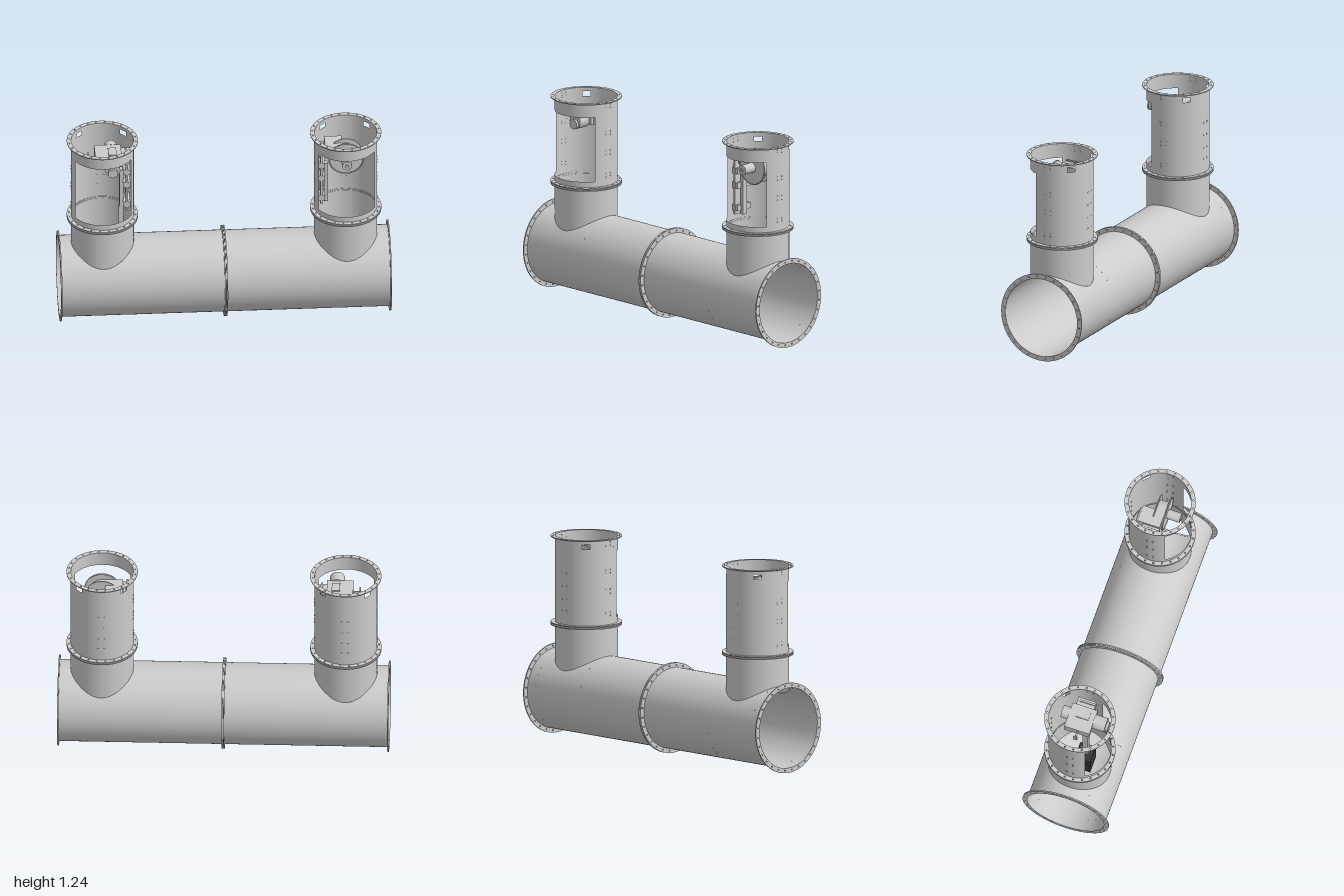
import * as THREE from 'three';

const Z = -0.695, PIPE_Y = 0.275, PIPE_R = 0.247, TOWER_R = 0.19, TOWER_X = 0.735;
const PI = Math.PI;
const grey = new THREE.MeshStandardMaterial({ color: 0xcccccc });
const sheet = new THREE.MeshStandardMaterial({ color: 0xcccccc, side: THREE.DoubleSide });
const black = new THREE.MeshStandardMaterial({ color: 0x333333 });
const red = new THREE.MeshStandardMaterial({ color: 0xcc2222 });

function add(parent, name, geometry, material, x = 0, y = 0, z = 0) {
  const mesh = new THREE.Mesh(geometry, material);
  mesh.name = name;
  mesh.position.set(x, y, z);
  parent.add(mesh);
  return mesh;
}

function box(parent, name, x0, x1, y0, y1, z0, z1, material = grey) {
  return add(parent, name, new THREE.BoxGeometry(x1 - x0, y1 - y0, z1 - z0), material,
    (x0 + x1) / 2, (y0 + y1) / 2, (z0 + z1) / 2);
}

// Cylinder lying along 'x', 'y' or 'z'
function rod(parent, name, axis, r, length, x, y, z, material = grey) {
  const g = new THREE.CylinderGeometry(r, r, length, 32);
  if (axis === 'x') g.rotateZ(PI / 2);
  if (axis === 'z') g.rotateX(PI / 2);
  return add(parent, name, g, material, x, y, z);
}

// Curved wall around the y axis; rule(u, v) gives [angle from +z, height]
function wall(r, nu, nv, rule) {
  const g = new THREE.PlaneGeometry(1, 1, nu, nv);
  const { position, normal, uv } = g.attributes;
  for (let i = 0; i < position.count; i++) {
    const [a, h] = rule(uv.getX(i), uv.getY(i));
    position.setXYZ(i, r * Math.sin(a), h, r * Math.cos(a));
    normal.setXYZ(i, Math.sin(a), 0, Math.cos(a));
  }
  return g;
}

const band = (r, a0, a1, y0, y1) =>
  wall(r, Math.ceil((a1 - a0) * 12), 1, (u, v) => [a0 + (a1 - a0) * u, y0 + (y1 - y0) * v]);

// Flat ring with bolt holes, facing z
function flange(inner, outer, thickness, bolts) {
  const shape = new THREE.Shape().absarc(0, 0, outer, 0, 2 * PI);
  shape.holes.push(new THREE.Path().absarc(0, 0, inner, 0, 2 * PI, true));
  const mid = (inner + outer) / 2;
  for (let i = 0; i < bolts; i++) {
    const a = (i + 0.5) / bolts * 2 * PI;
    shape.holes.push(new THREE.Path().absarc(mid * Math.cos(a), mid * Math.sin(a), 0.0045, 0, 2 * PI, true));
  }
  return new THREE.ExtrudeGeometry(shape, { depth: thickness, bevelEnabled: false, curveSegments: 36 })
    .translate(0, 0, -thickness / 2);
}

function mainPipe() {
  const pipe = new THREE.Group();
  pipe.name = 'mainPipe';
  pipe.position.set(0, PIPE_Y, Z);
  const top = -PI / 2;
  const section = (g) => add(pipe, 'pipeWall', g.rotateZ(-PI / 2), sheet);
  const a = TOWER_X - TOWER_R, b = TOWER_X + TOWER_R;
  for (const [x0, x1] of [[-1, -b], [-a, a], [b, 1]]) section(band(PIPE_R, top, top + 2 * PI, x0, x1));
  // Sections opened at the top where the branches join
  for (const s of [-1, 1]) section(wall(PIPE_R, 72, 32, (u, v) => {
    const limit = Math.asin(TOWER_R * Math.sin(PI * v) / PIPE_R);
    return [top + limit + (2 * PI - 2 * limit) * u, s * TOWER_X - TOWER_R * Math.cos(PI * v)];
  }));
  for (const x of [-0.995, -0.005, 0.005, 0.995])
    add(pipe, 'pipeFlange', flange(0.245, 0.275, 0.008, 28).rotateY(PI / 2), grey, x);
  return pipe;
}

function tower(side) {
  const t = new THREE.Group();
  t.name = side > 0 ? 'leftTower' : 'rightTower';
  t.position.set(side * TOWER_X, 0, Z);
  // Branch with saddle-shaped foot
  add(t, 'branch', wall(TOWER_R, 80, 1, (u, v) => {
    const a = u * 2 * PI;
    const foot = PIPE_Y + Math.sqrt(PIPE_R ** 2 - (TOWER_R * Math.cos(a)) ** 2);
    return [a, foot + (0.712 - foot) * v];
  }), sheet);
  // Housing: front window and two slots at the back
  const w = 1.077, s0 = 0.75 * PI - 0.125, s1 = 0.75 * PI + 0.125;
  for (const [a0, a1, y0, y1] of [
    [0, 2 * PI, 0.712, 0.75], [w, 2 * PI - w, 0.75, 1.15], [0, 2 * PI, 1.15, 1.185],
    [-s0, s0, 1.185, 1.215], [s1, 2 * PI - s1, 1.185, 1.215], [0, 2 * PI, 1.215, 1.238],
  ]) add(t, 'housingWall', band(TOWER_R, a0, a1, y0, y1), sheet);
  for (const [y, d] of [[0.699, 0.007], [0.711, 0.007], [1.237, 0.006]])
    add(t, 'towerFlange', flange(0.188, 0.215, d, 24).rotateX(-PI / 2), grey, 0, y);
  // Rivets in paired columns on the sides and back
  for (const a of [PI / 2, PI, 1.5 * PI]) {
    const rows = a === PI ? [0.8, 0.87, 0.95, 1.03] : [0.77, 0.79, 0.905, 0.93, 1.03, 1.05, 1.2, 1.22];
    for (const y of rows) for (const d of [-0.1, 0.1]) {
      const m = rod(t, 'rivet', 'z', 0.005, 0.004, TOWER_R * Math.sin(a + d), y, TOWER_R * Math.cos(a + d));
      m.rotation.y = a + d;
    }
  }
  return t;
}

// Upright rail with clamps, fixed to the side of a housing
function rail(parent, x, dir) {
  box(parent, 'railPlate', x - 0.006, x + 0.006, 0.76, 1.15, -0.05, 0.05);
  box(parent, 'railBar', x - 0.03 * dir - 0.012, x - 0.03 * dir + 0.012, 0.76, 1.03, -0.017, 0.017);
  for (const y of [0.8, 0.94, 1.03, 1.12]) {
    box(parent, 'clamp', x - 0.022, x + 0.022, y - 0.018, y + 0.018, -0.065, 0.045);
    for (const z of [-0.045, 0.03]) rod(parent, 'clampBolt', 'y', 0.008, 0.05, x, y, z);
  }
}

function gearbox(t) {
  rail(t, 0.145, 1);
  box(t, 'gearboxCase', -0.045, 0.115, 1.09, 1.15, -0.085, 0.075);
  box(t, 'gearboxCover', 0.035, 0.085, 1.15, 1.157, -0.04, 0.04);
  rod(t, 'motor', 'z', 0.045, 0.08, 0.055, 1.115, 0.11);
  rod(t, 'motorCap', 'z', 0.03, 0.02, 0.055, 1.1, 0.155);
  rod(t, 'rearBearing', 'z', 0.038, 0.05, 0.055, 1.115, -0.105);
  rod(t, 'leverShaft', 'x', 0.006, 0.05, -0.065, 1.12, 0);
  box(t, 'lever', -0.09, -0.083, 1.1, 1.15, -0.012, 0.012);
  box(t, 'bracket', 0.11, 0.16, 1.09, 1.14, -0.06, 0.05);
  // Hanging arm and camera inside the pipe
  box(t, 'arm', 0.098, 0.128, 0.43, 0.77, -0.017, 0.017);
  box(t, 'armJoint', 0.09, 0.135, 0.395, 0.44, -0.025, 0.025);
  rod(t, 'jointPin', 'z', 0.012, 0.06, 0.112, 0.42, 0);
  box(t, 'cameraBody', 0.045, 0.155, 0.22, 0.325, -0.05, 0.05, black);
  box(t, 'cameraHead', 0.048, 0.152, 0.325, 0.39, -0.05, 0.05, black);
  rod(t, 'cameraRim', 'x', 0.026, 0.01, 0.156, 0.342, 0, black);
  rod(t, 'cameraLens', 'x', 0.019, 0.014, 0.157, 0.342, 0, red);
}

function reel(t) {
  rail(t, -0.15, -1);
  box(t, 'reelMount', -0.125, -0.02, 1.08, 1.15, -0.1, 0.04);
  rod(t, 'mountMotor', 'x', 0.025, 0.09, -0.08, 1.12, -0.09);
  rod(t, 'reelDisc', 'z', 0.105, 0.008, 0, 1.08, 0.045);
  rod(t, 'reelDrum', 'z', 0.07, 0.06, 0, 1.08, 0.012);
  rod(t, 'reelBackDisc', 'z', 0.1, 0.006, 0, 1.08, -0.02);
  rod(t, 'reelHub', 'z', 0.03, 0.085, 0, 1.08, 0.09);
  rod(t, 'reelAxle', 'z', 0.01, 0.01, 0, 1.08, 0.136);
  add(t, 'reelRim', new THREE.TorusGeometry(0.104, 0.004, 6, 48), grey, 0, 1.08, 0.049);
}

export function createModel() {
  const model = new THREE.Group();
  model.name = 'pipeWithTowers';
  const rightTower = tower(-1), leftTower = tower(1);
  gearbox(rightTower);
  reel(leftTower);
  model.add(mainPipe(), rightTower, leftTower);
  return model;
}
